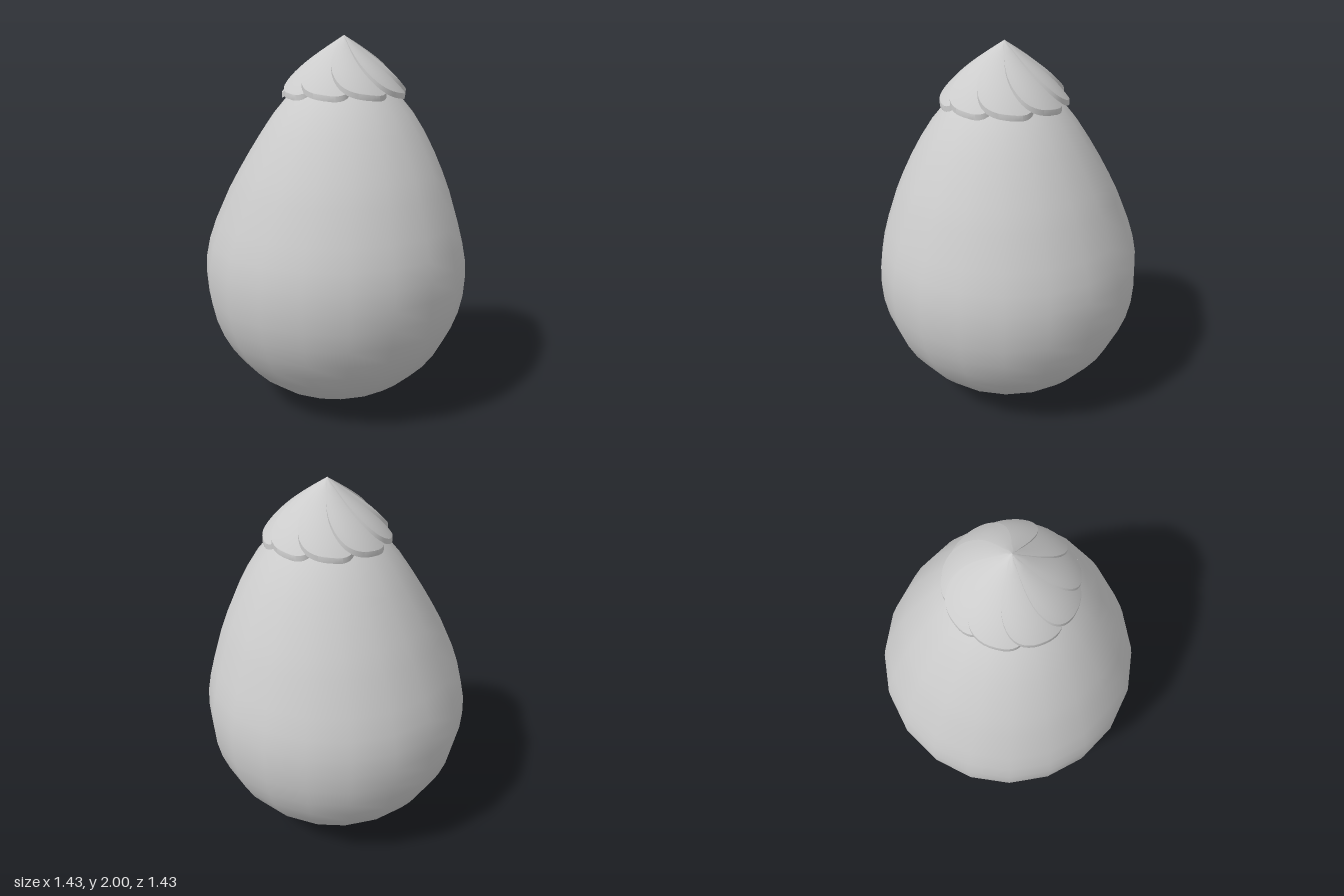
import * as THREE from 'three';
import { toCreasedNormals } from 'three/addons/utils/BufferGeometryUtils.js';

const material = new THREE.MeshStandardMaterial({ color: 0xcccccc });
const LEAN = 0.045; // sideways offset of the narrow top
const PETALS = 9;

// Pear-shaped body: a round base drawn up into a neck that leans a little to +x
function makeBody() {
  const points = [];
  for (let i = 0; i <= 11; i++) {
    const a = (i / 11) * Math.PI / 2;
    points.push(new THREE.Vector2(0.72 * Math.sin(a), 0.72 * (1 - Math.cos(a))));
  }
  const neck = [[0.716, 0.82], [0.696, 0.92], [0.662, 1.03], [0.597, 1.2], [0.55, 1.3],
    [0.498, 1.4], [0.44, 1.5], [0.374, 1.6], [0.29, 1.7], [0.21, 1.77], [0.11, 1.83], [0, 1.85]];
  neck.forEach(([r, y]) => points.push(new THREE.Vector2(r, y)));

  const geometry = new THREE.LatheGeometry(points, 20);
  geometry.rotateY(THREE.MathUtils.degToRad(4.8));
  const p = geometry.attributes.position;
  for (let i = 0; i < p.count; i++) {
    p.setX(i, p.getX(i) + LEAN * THREE.MathUtils.smoothstep(p.getY(i), 0.85, 1.6));
  }
  const body = new THREE.Mesh(geometry, material);
  body.name = 'body';
  return body;
}

// Teardrop petal: a thin box laid on a cone, with one long edge lifted over its neighbour
function makePetalGeometry() {
  const length = 0.33, halfWidth = 0.135, widest = 0.7, thickness = 0.028;
  const geometry = new THREE.BoxGeometry(1, 1, 1, 16, 1, 8);
  const p = geometry.attributes.position;
  for (let i = 0; i < p.count; i++) {
    const u = Math.sin((p.getX(i) + 0.5) * Math.PI / 2);
    const v = p.getZ(i) * 2;
    const spread = u < widest
      ? Math.sin((Math.PI / 2) * u / widest)
      : Math.max(0, 1 - ((u - widest) / (1 - widest)) ** 2.3) ** (1 / 2.3);
    const side = v * Math.max(0.004, halfWidth * spread) + 0.018 * Math.sin(Math.PI * u);
    const radius = Math.hypot(length * u, side);
    const cone = 1.99 - 0.68 * radius - 0.055 * (radius / length) ** 4;
    const y = cone + 0.016 * v * spread + (p.getY(i) - 0.5) * thickness + 0.01 * (1 - u);
    p.setXYZ(i, length * u, y, side);
  }
  return toCreasedNormals(geometry, 0.6);
}

// Cap of swirling, overlapping petals meeting at a point
function makeCap() {
  const cap = new THREE.Group();
  cap.name = 'petalCap';
  cap.position.x = LEAN;
  const geometry = makePetalGeometry();
  for (let i = 0; i < PETALS; i++) {
    const petal = new THREE.Mesh(geometry, material);
    petal.name = 'petal' + (i + 1);
    petal.rotation.y = -Math.PI / 2 - (i / PETALS) * Math.PI * 2;
    cap.add(petal);
  }
  return cap;
}

export function createModel() {
  const model = new THREE.Group();
  model.name = 'pearWithPetalCap';
  model.add(makeBody(), makeCap());
  return model;
}
